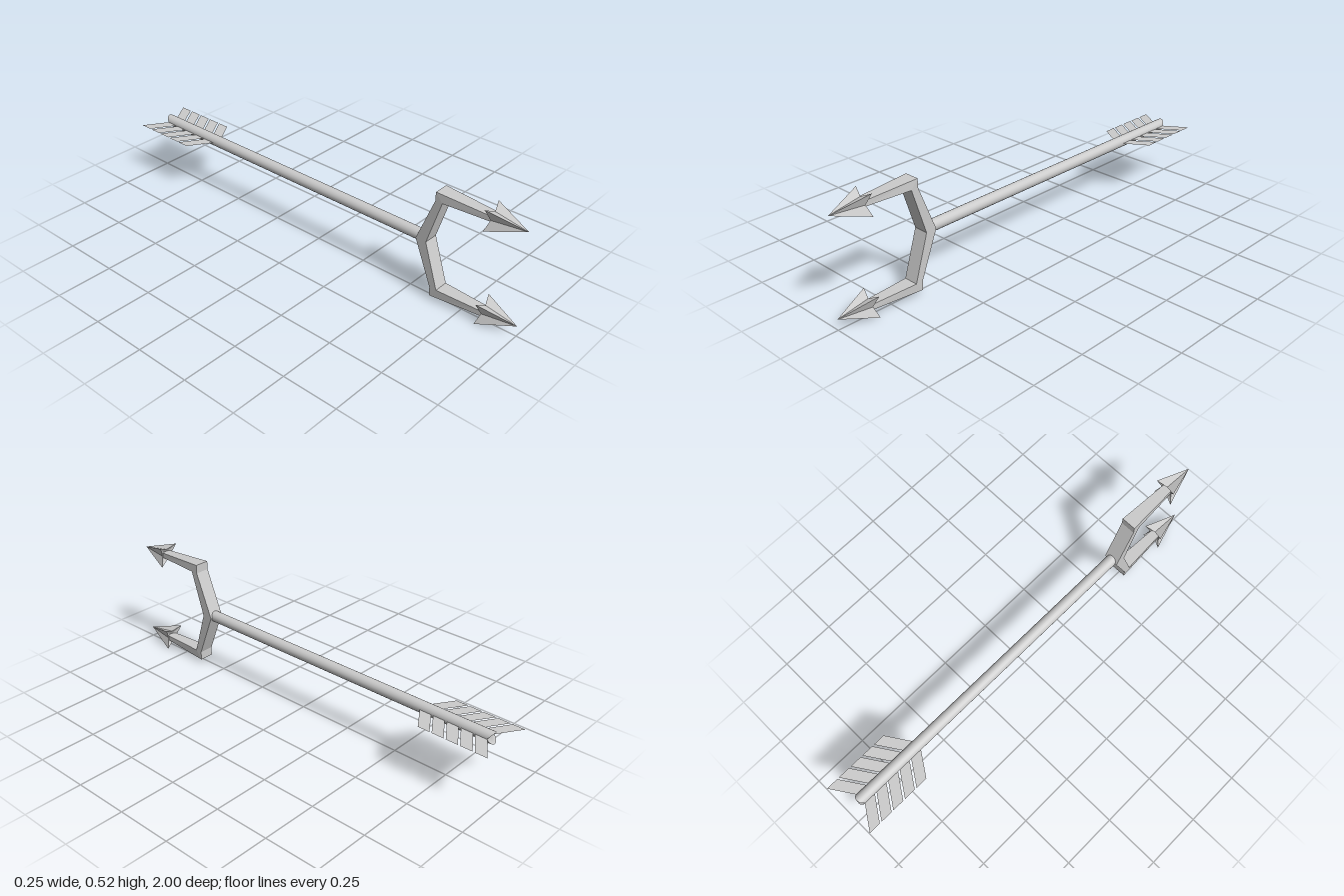
import * as THREE from 'three';

const AXIS_Y = 0.258;
const material = new THREE.MeshStandardMaterial({ color: 0xcccccc });
const flat = new THREE.MeshStandardMaterial({ color: 0xcccccc, flatShading: true });
const thin = new THREE.MeshStandardMaterial({ color: 0xcccccc, side: THREE.DoubleSide });

function named(geometry, mat, name) {
  const mesh = new THREE.Mesh(geometry, mat);
  mesh.name = name;
  return mesh;
}

function fromTriangles(triangles) {
  const geometry = new THREE.BufferGeometry();
  geometry.setAttribute('position', new THREE.Float32BufferAttribute(triangles.flat(2), 3));
  geometry.computeVertexNormals();
  return geometry;
}

// Round rod along z, with a V-shaped nock cut into the rear end
function shaftGeometry() {
  const r = 0.025, front = 0.55, back = -0.95, nock = 0.02;
  const geometry = new THREE.CylinderGeometry(r, r, front - back, 20);
  geometry.rotateX(Math.PI / 2).translate(0, 0, (front + back) / 2);
  const p = geometry.attributes.position;
  for (let i = 0; i < p.count; i++) {
    if (p.getZ(i) < 0) p.setZ(i, back + nock * (1 - Math.abs(p.getY(i)) / r));
  }
  // Cap normals follow the two slopes of the nock
  const n = geometry.attributes.normal;
  for (let i = 0; i < p.count; i++) {
    if (n.getZ(i) < -0.9) n.setXYZ(i, 0, -0.62 * Math.sign(Math.round(p.getY(i) * 1e4)), -0.78);
  }
  return geometry;
}

// One bent prong lofted through sections: rear edge, front edge, half width
function prongGeometry() {
  const sections = [
    { rear: [0, 0.535], fore: [0, 0.584], w: 0.033 },
    { rear: [0.2, 0.615], fore: [0.2, 0.647], w: 0.033 },
    { rear: [0.239, 0.615], fore: [0.2, 0.647], w: 0.033 },
    { rear: [0.226, 0.87], fore: [0.204, 0.87], w: 0.021 },
  ];
  const rings = sections.map(({ rear, fore, w }) =>
    [[-w, ...rear], [w, ...rear], [w, ...fore], [-w, ...fore]]);
  const triangles = [];
  for (let s = 0; s < rings.length - 1; s++) {
    const a = rings[s], b = rings[s + 1];
    for (let i = 0; i < 4; i++) {
      const j = (i + 1) % 4;
      triangles.push([a[i], b[j], a[j]], [a[i], b[i], b[j]]);
    }
  }
  return fromTriangles(triangles);
}

// Four-barbed pointed head with a hollowed back
function headGeometry() {
  const tip = [0, 0, 1], hollow = [0, 0, 0.87];
  const ring = [];
  for (let i = 0; i < 8; i++) {
    const angle = i * Math.PI / 4, barb = i % 2 === 1;
    const r = barb ? 0.065 : 0.026;
    ring.push([r * Math.cos(angle), r * Math.sin(angle), barb ? 0.838 : 0.855]);
  }
  const triangles = [];
  ring.forEach((a, i) => {
    const b = ring[(i + 1) % 8];
    triangles.push([tip, a, b], [hollow, b, a]);
  });
  return fromTriangles(triangles);
}

// Swept flat vane on the +x side
function vaneGeometry() {
  const inner = 0.02, outer = 0.127, sweep = 0.07, width = 0.054;
  const a = [outer, 0, 0], b = [inner, 0, sweep];
  const c = [inner, 0, sweep + width], d = [outer, 0, width];
  return fromTriangles([[a, b, c], [a, c, d]]);
}

export function createModel() {
  const model = new THREE.Group();
  model.name = 'forkedArrow';
  const arrow = new THREE.Group();
  arrow.name = 'arrow';
  arrow.position.y = AXIS_Y;
  model.add(arrow);

  arrow.add(named(shaftGeometry(), material, 'shaft'));

  // Upper and lower prongs, the lower turned half round the shaft
  const prong = prongGeometry(), head = headGeometry();
  for (const [name, turn] of [['upperProng', 0], ['lowerProng', Math.PI]]) {
    const group = new THREE.Group();
    group.name = name;
    group.rotation.z = turn;
    const point = named(head, flat, 'prongHead');
    point.position.y = 0.212;
    group.add(named(prong, flat, 'prongArm'), point);
    arrow.add(group);
  }

  // Five vanes on each side of the tail
  const vane = vaneGeometry();
  for (const [name, turn] of [['leftFletching', 0], ['rightFletching', Math.PI]]) {
    const group = new THREE.Group();
    group.name = name;
    group.rotation.z = turn;
    for (let i = 0; i < 5; i++) {
      const mesh = named(vane, thin, 'vane');
      mesh.position.z = -1 + i * 0.0635;
      group.add(mesh);
    }
    arrow.add(group);
  }
  return model;
}
